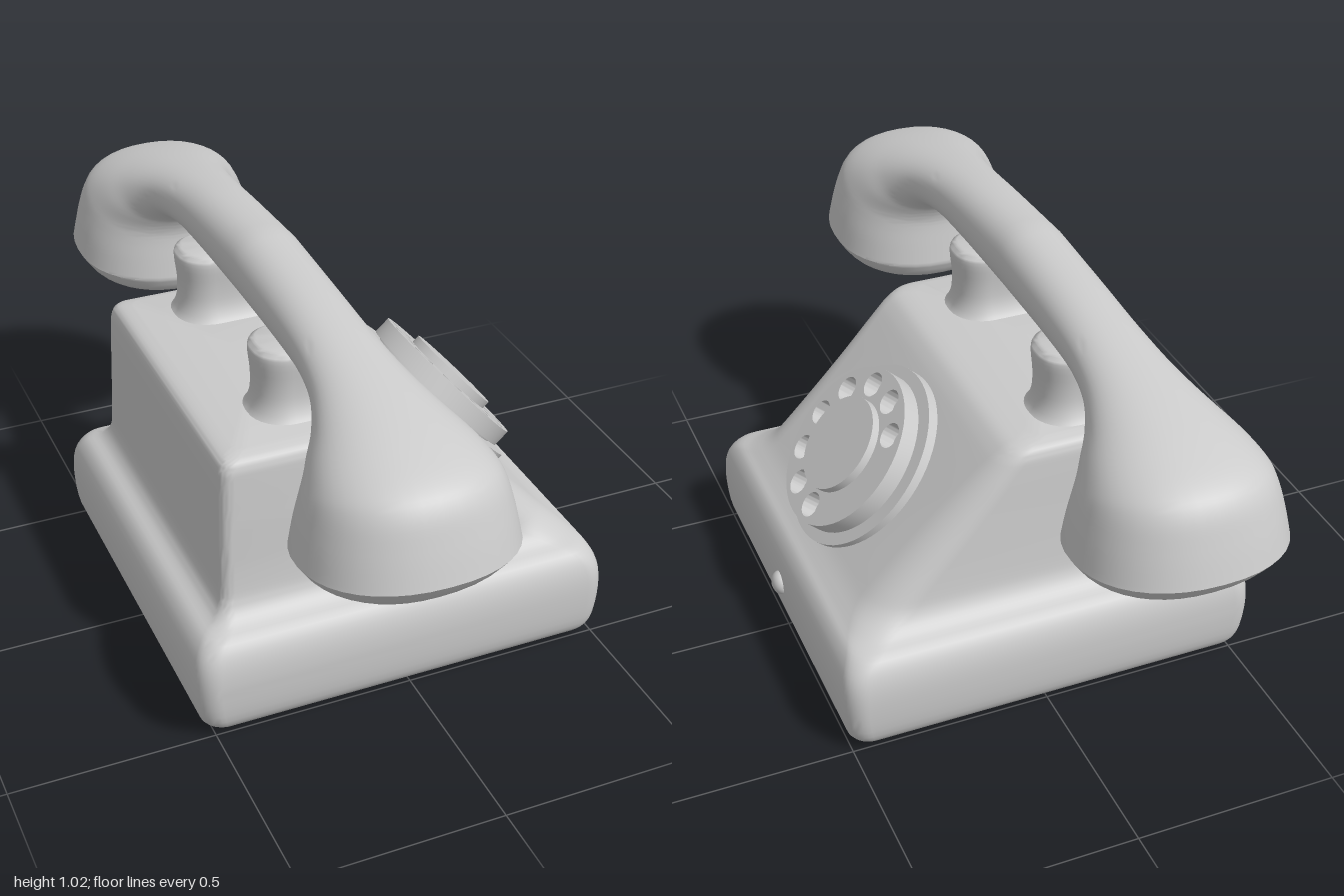
import * as THREE from 'three';
import { toCreasedNormals } from 'three/addons/utils/BufferGeometryUtils.js';

const material = new THREE.MeshStandardMaterial({ color: 0xcccccc });

function part(name, geometry, parent) {
  const mesh = new THREE.Mesh(geometry, material);
  mesh.name = name;
  parent.add(mesh);
  return mesh;
}

// Catmull-Rom interpolation of rows of numbers, with n steps per interval
function smooth(rows, n) {
  const out = [];
  const at = i => rows[Math.max(0, Math.min(rows.length - 1, i))];
  for (let i = 0; i < rows.length - 1; i++) {
    for (let s = 0; s < n; s++) {
      const t = s / n;
      out.push(rows[i].map((p1, k) => {
        const p0 = at(i - 1)[k], p2 = at(i + 1)[k], p3 = at(i + 2)[k];
        return p1 + 0.5 * t * (p2 - p0 + t * (2 * p0 - 5 * p1 + 4 * p2 - p3 + t * (3 * (p1 - p2) + p3 - p0)));
      }));
    }
  }
  out.push(rows[rows.length - 1]);
  return out;
}

// Skin through closed rings of Vector3, both ends filled
function loft(rings, crease = 0.6) {
  const n = rings[0].length, pos = [], index = [];
  rings.forEach(r => r.forEach(p => pos.push(p.x, p.y, p.z)));
  for (let i = 0; i < rings.length - 1; i++) {
    for (let j = 0; j < n; j++) {
      const a = i * n + j, b = i * n + (j + 1) % n;
      index.push(a, b, b + n, a, b + n, a + n);
    }
  }
  [0, rings.length - 1].forEach(e => {
    const c = new THREE.Vector3();
    rings[e].forEach(p => c.addScaledVector(p, 1 / n));
    const k = pos.length / 3;
    pos.push(c.x, c.y, c.z);
    for (let j = 0; j < n; j++) {
      const a = e * n + j, b = e * n + (j + 1) % n;
      index.push(...(e === 0 ? [k, b, a] : [k, a, b]));
    }
  });
  const g = new THREE.BufferGeometry();
  g.setAttribute('position', new THREE.Float32BufferAttribute(pos, 3));
  g.setIndex(index);
  return toCreasedNormals(g, crease);
}

// Level rounded rectangle with separate back and front corner radii
function roundedRing(y, x0, x1, hz, rBack, rFront) {
  const pts = [], steps = 8;
  for (let c = 0; c < 4; c++) {
    const front = c === 0 || c === 3;
    const r = front ? rFront : rBack;
    const cx = front ? x1 - r : x0 + r;
    const cz = (c < 2 ? -1 : 1) * (hz - r);
    for (let s = 0; s <= steps; s++) {
      const a = (c + s / steps) * Math.PI / 2;
      pts.push(new THREE.Vector3(cx + r * Math.cos(a), y, cz - r * Math.sin(a)));
    }
  }
  return pts;
}

function bodyGeometry() {
  // y, back x, front x, half depth, back radius, front radius
  const rows = [
    [0, -0.475, 0.45, 0.465, 0.04, 0.04],
    [0.012, -0.505, 0.482, 0.497, 0.045, 0.045],
    [0.05, -0.531, 0.506, 0.522, 0.05, 0.05],
    [0.14, -0.54, 0.515, 0.53, 0.05, 0.05],
    [0.21, -0.534, 0.509, 0.524, 0.05, 0.05],
    [0.255, -0.51, 0.488, 0.502, 0.05, 0.06],
    [0.278, -0.472, 0.46, 0.462, 0.04, 0.08],
    [0.31, -0.451, 0.422, 0.437, 0.03, 0.1],
    [0.36, -0.446, 0.374, 0.428, 0.03, 0.1],
    [0.5, -0.441, 0.24, 0.422, 0.03, 0.09],
    [0.62, -0.436, 0.125, 0.418, 0.03, 0.07],
    [0.66, -0.431, 0.083, 0.415, 0.03, 0.06],
    [0.68, -0.418, 0.05, 0.404, 0.03, 0.05],
    [0.69, -0.385, 0, 0.375, 0.03, 0.04],
  ];
  return loft(smooth(rows, 4).map(r => roundedRing(...r)), 0.8);
}

function handsetGeometry() {
  // outer z, outer y, inner z, inner y, half width
  const grip = [
    [0, 1.018, 0, 0.843, 0.09],
    [0.25, 1.0, 0.25, 0.843, 0.09],
    [0.41, 0.981, 0.41, 0.84, 0.094],
    [0.56, 0.957, 0.5, 0.828, 0.11],
    [0.7, 0.93, 0.545, 0.805, 0.142],
    [0.82, 0.9, 0.562, 0.782, 0.176],
    [0.91, 0.868, 0.57, 0.755, 0.2],
    [0.951, 0.83, 0.57, 0.73, 0.215],
    [0.977, 0.76, 0.564, 0.68, 0.232],
    [1.0, 0.68, 0.557, 0.625, 0.245],
  ];
  const dome = [
    [1.0, 0.68, 0.557, 0.625, 0.245],
    [0.965, 0.635, 0.577, 0.588, 0.215],
    [0.915, 0.595, 0.615, 0.571, 0.165],
    [0.85, 0.572, 0.68, 0.563, 0.095],
    [0.775, 0.562, 0.755, 0.561, 0.01],
  ];
  const half = [...smooth(grip, 5), ...smooth(dome, 4).slice(1)];
  const mirrored = half.slice(1).reverse().map(([a, b, c, d, w]) => [-a, b, -c, d, w]);
  const rings = [...mirrored, ...half].map(([oz, oy, iz, iy, w]) => {
    const ring = [], n = 40;
    // slightly squared oval
    const sq = v => Math.sign(v) * Math.abs(v) ** 0.9;
    for (let j = 0; j < n; j++) {
      const a = j / n * Math.PI * 2, c = sq(Math.cos(a)), s = sq(Math.sin(a));
      ring.push(new THREE.Vector3(-0.16 - w * s,
        (oy + iy) / 2 + c * (oy - iy) / 2, (oz + iz) / 2 + c * (oz - iz) / 2));
    }
    return ring;
  });
  return loft(rings, 0.65);
}

function buildDial() {
  const dial = new THREE.Group();
  dial.name = 'dial';
  const n = new THREE.Vector3(0.745, 0.667, 0).normalize();
  const right = new THREE.Vector3(0, 0, -1);
  const up = new THREE.Vector3().crossVectors(n, right);
  dial.quaternion.setFromRotationMatrix(new THREE.Matrix4().makeBasis(right, up, n));
  dial.position.set(0.296, 0.481, 0);

  const disc = (name, r, depth, z) => {
    const g = new THREE.CylinderGeometry(r, r, depth, 64).rotateX(Math.PI / 2);
    g.translate(0, 0, z + depth / 2);
    return part(name, g, dial);
  };
  disc('dialPlate', 0.24, 0.03, -0.036);
  disc('dialSpindle', 0.19, 0.012, -0.008);
  disc('dialHub', 0.123, 0.03, 0.037);

  // finger wheel with a ring of holes
  const wheel = new THREE.Shape().absarc(0, 0, 0.21, 0, Math.PI * 2);
  for (let i = 0; i < 8; i++) {
    const a = THREE.MathUtils.degToRad(44 + i * 34.5);
    wheel.holes.push(new THREE.Path().absarc(0.165 * Math.cos(a), 0.165 * Math.sin(a), 0.032, 0, Math.PI * 2, true));
  }
  const g = new THREE.ExtrudeGeometry(wheel, { depth: 0.046, bevelEnabled: false, curveSegments: 32 });
  part('fingerWheel', toCreasedNormals(g, 0.6), dial);
  return dial;
}

export function createModel() {
  const phone = new THREE.Group();
  phone.name = 'telephone';
  part('body', bodyGeometry(), phone);
  part('handset', handsetGeometry(), phone);

  // cradle posts with flared feet: y, half width, half depth
  const post = smooth([[0.675, 0.15, 0.115], [0.695, 0.13, 0.093], [0.73, 0.118, 0.078],
    [0.78, 0.116, 0.077], [0.835, 0.121, 0.082], [0.856, 0.117, 0.078], [0.864, 0.1, 0.062]], 3);
  [0.23, -0.275].forEach((z, i) => {
    const rings = post.map(([y, w, d]) => roundedRing(y, -0.17 - w, -0.17 + w, d, d * 0.9, d * 0.9));
    part(i ? 'cradlePostRight' : 'cradlePostLeft', loft(rings, 0.8), phone).position.z = z;
  });

  phone.add(buildDial());

  // small stud on the front edge
  const stud = part('frontStud', new THREE.SphereGeometry(0.031, 24, 16), phone);
  stud.scale.x = 0.75;
  stud.position.set(0.513, 0.14, 0);
  return phone;
}
